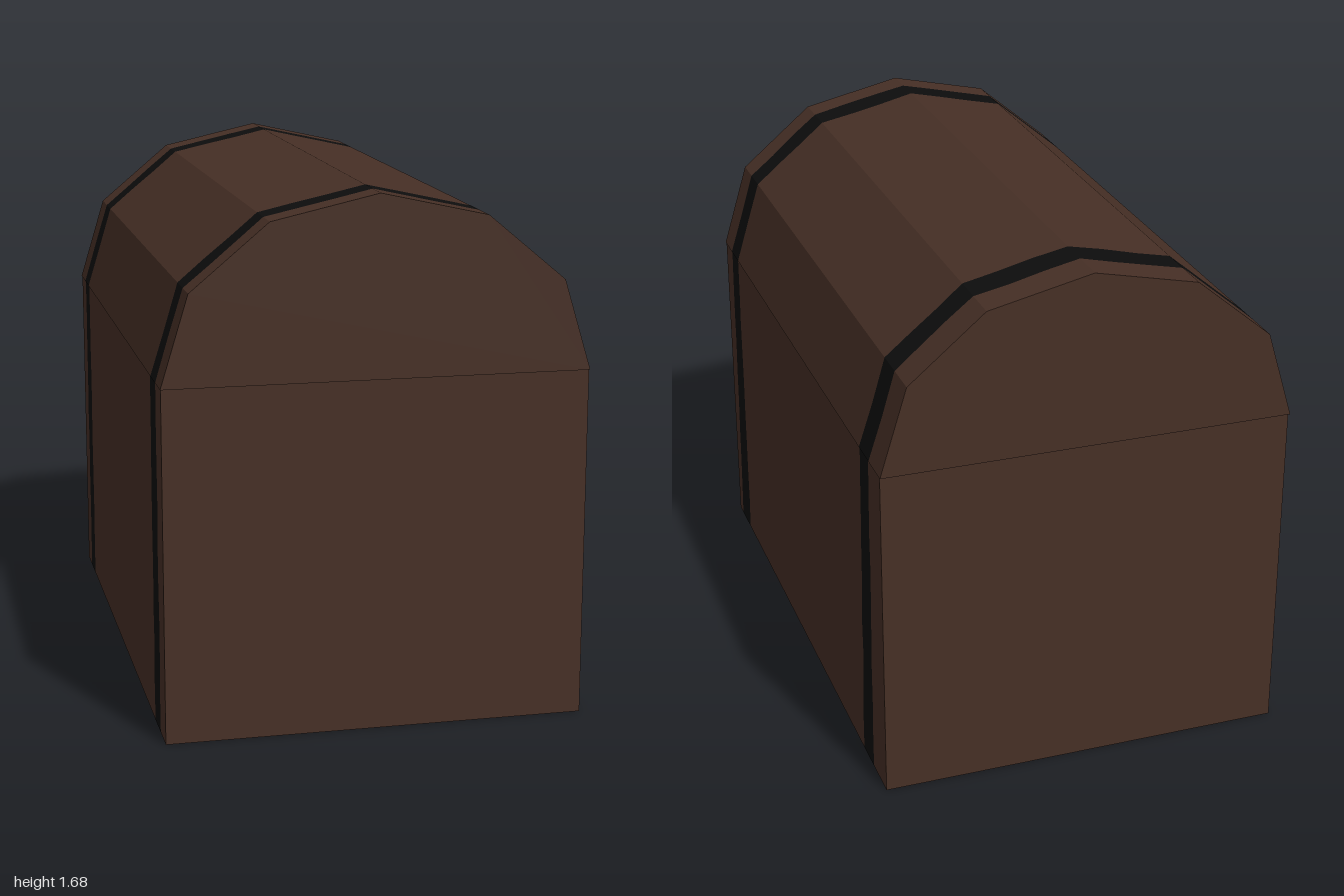
import * as THREE from 'three';

const wood = new THREE.MeshStandardMaterial({ color: 0x462f25 });
wood.name = 'darkWood';
const iron = new THREE.MeshStandardMaterial({ color: 0x0d0d0d });
iron.name = 'blackIron';

// seeded jitter for the hand-made edges of the straps
let seed = 7;
const jitter = () => {
  seed = (seed * 16807) % 2147483647;
  return (seed / 2147483647 - 0.5) * 0.012;
};

function mesh(name, positions, material) {
  const g = new THREE.BufferGeometry();
  g.setAttribute('position', new THREE.Float32BufferAttribute(positions, 3));
  g.computeVertexNormals();
  const m = new THREE.Mesh(g, material);
  m.name = name;
  return m;
}

// Prism along z. profile: counter-clockwise [x, y] loop. straps: for each edge, the strap
// borders in z (back to front) at its start and end, or null for a plain edge.
function strappedPrism(name, profile, straps, zBack, zFront) {
  const woodPos = [], ironPos = [];
  const n = profile.length;
  profile.forEach((a, i) => {
    const b = profile[(i + 1) % n];
    const steps = straps[i] ? Math.max(2, Math.round(Math.hypot(b[0] - a[0], b[1] - a[1]) / 0.12)) : 1;
    const rows = [];
    for (let s = 0; s <= steps; s++) {
      const t = s / steps;
      const inner = straps[i]
        ? straps[i][0].map((z, k) => z + (straps[i][1][k] - z) * t + (s > 0 && s < steps ? jitter() : 0))
        : [];
      rows.push([zBack, ...inner, zFront].map((z) => [a[0] + (b[0] - a[0]) * t, a[1] + (b[1] - a[1]) * t, z]));
    }
    for (let s = 0; s < steps; s++) {
      for (let k = 0; k < rows[s].length - 1; k++) {
        const p = rows[s][k], q = rows[s + 1][k], r = rows[s + 1][k + 1], u = rows[s][k + 1];
        (k % 2 ? ironPos : woodPos).push(...p, ...q, ...r, ...p, ...r, ...u);
      }
    }
  });
  // end walls
  for (let i = 1; i < n - 1; i++) {
    const [a, b, c] = [profile[0], profile[i], profile[i + 1]];
    woodPos.push(...a, zFront, ...b, zFront, ...c, zFront, ...a, zBack, ...c, zBack, ...b, zBack);
  }
  const group = new THREE.Group();
  group.name = name;
  group.add(mesh(name + 'Wood', woodPos, wood), mesh(name + 'Straps', ironPos, iron));
  return group;
}

export function createModel() {
  const chest = new THREE.Group();
  chest.name = 'chest';

  // box: bottom, +x wall, top, -x wall
  const w = 0.665, h = 1.115;
  chest.add(strappedPrism('box', [[-w, 0], [w, 0], [w, h], [-w, h]], [
    [[-0.87, -0.76, 0.85, 0.96], [-0.86, -0.75, 0.83, 0.95]],
    [[-0.85, -0.74, 0.83, 0.95], [-0.87, -0.78, 0.81, 0.9]],
    null,
    [[-0.88, -0.77, 0.78, 0.89], [-0.89, -0.78, 0.78, 0.89]],
  ], -0.99, 0.995));

  // faceted barrel lid
  const half = [[0.667, h], [0.58, 1.4], [0.335, 1.605]];
  const arch = [...half, [0, 1.68], ...half.map(([x, y]) => [-x, y]).reverse()];
  const band = [-0.88, -0.778, 0.803, 0.9];
  const lidStraps = arch.map((_, i) => (i < arch.length - 1 ? [band, band] : null));
  chest.add(strappedPrism('lid', arch, lidStraps, -1, 1));

  return chest;
}
